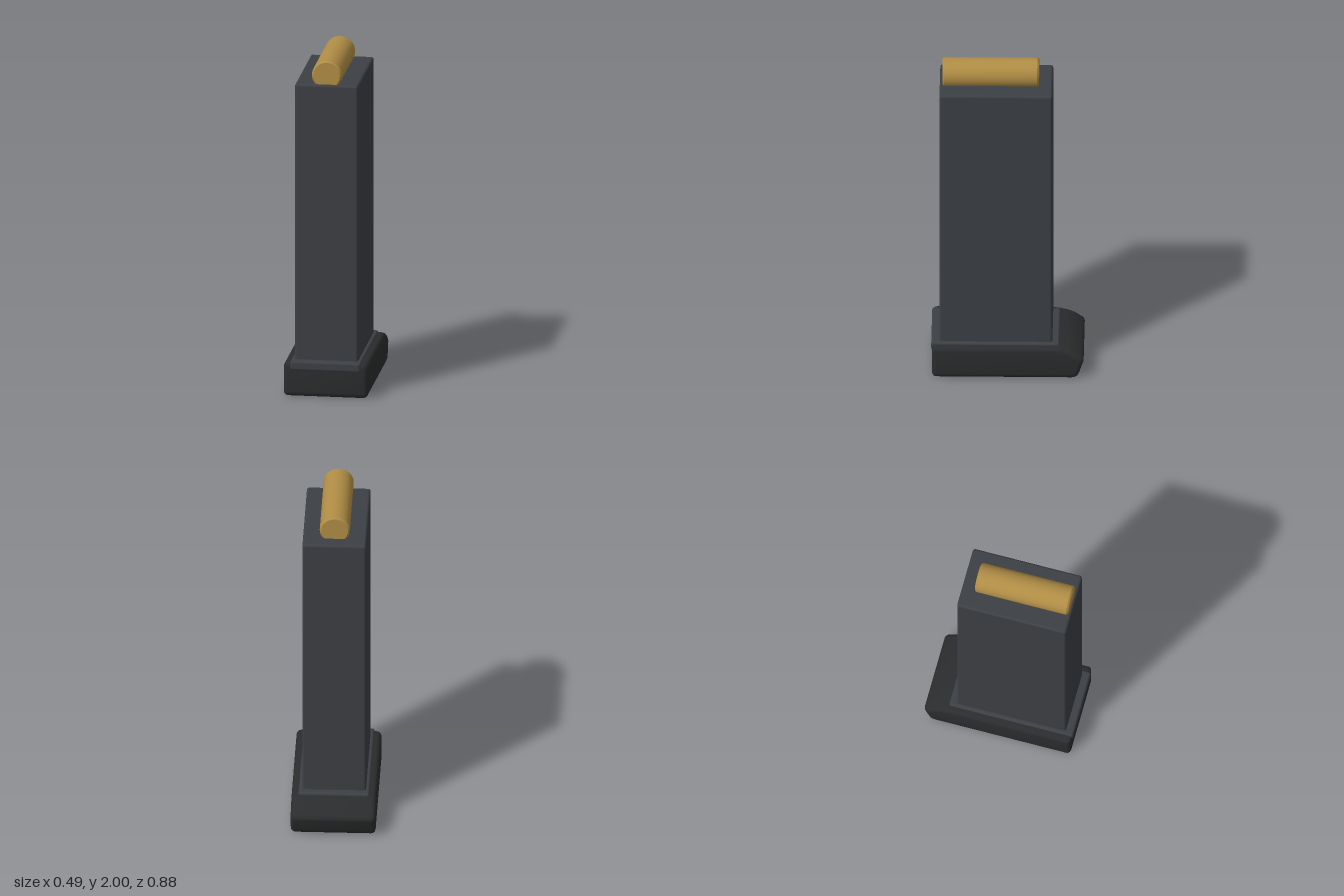
import * as THREE from 'three';
import { RoundedBoxGeometry } from 'three/addons/geometries/RoundedBoxGeometry.js';
import { toCreasedNormals } from 'three/addons/utils/BufferGeometryUtils.js';

const steel = new THREE.MeshStandardMaterial({ color: 0x3c3f44 });
const polymer = new THREE.MeshStandardMaterial({ color: 0x2b2c2d });
const brass = new THREE.MeshStandardMaterial({ color: 0xb08d45 });

function addPart(group, name, geometry, material) {
  const mesh = new THREE.Mesh(geometry, material);
  mesh.name = name;
  group.add(mesh);
  return mesh;
}

// Rounded box given by its half width and its y and z ranges
function block(halfX, y0, y1, z0, z1, radius) {
  return new RoundedBoxGeometry(2 * halfX, y1 - y0, z1 - z0, 3, radius)
    .translate(0, (y0 + y1) / 2, (z0 + z1) / 2);
}

// Closed outline whose corners [x, y, radius] are rounded off
function roundedShape(corners) {
  const shape = new THREE.Shape();
  const n = corners.length;
  corners.forEach(([x, y, r], i) => {
    const p = new THREE.Vector2(x, y);
    const toward = (c) => p.clone().add(
      new THREE.Vector2(c[0], c[1]).sub(p).setLength(r));
    const a = toward(corners[(i + n - 1) % n]);
    const b = toward(corners[(i + 1) % n]);
    if (i === 0) shape.moveTo(a.x, a.y);
    else shape.lineTo(a.x, a.y);
    shape.quadraticCurveTo(x, y, b.x, b.y);
  });
  shape.closePath();
  return shape;
}

export function createModel() {
  const group = new THREE.Group();
  group.name = 'magazine';

  // Base plate: side profile (z, y) with a sloped heel, extruded across x
  const profile = roundedShape([
    [0.437, 0, 0.03], [0.437, 0.2, 0.025], [-0.29, 0.2, 0.03],
    [-0.37, 0.178, 0.03], [-0.445, 0.128, 0.025], [-0.403, 0, 0.035],
  ]);
  const bevel = 0.026, halfWidth = 0.245;
  const plate = new THREE.ExtrudeGeometry(profile, {
    depth: 2 * (halfWidth - bevel), curveSegments: 5,
    bevelThickness: bevel, bevelSize: bevel, bevelOffset: -bevel, bevelSegments: 3,
  });
  plate.translate(0, 0, -(halfWidth - bevel)).rotateY(-Math.PI / 2);
  addPart(group, 'basePlate', toCreasedNormals(plate, 0.6), polymer);

  // Low collar where the tube enters the base plate
  addPart(group, 'collar', block(0.205, 0.155, 0.212, -0.3, 0.441, 0.014), steel);

  // Tall tube
  addPart(group, 'tube', block(0.184, 0.19, 1.86, -0.258, 0.394, 0.015), steel);

  // Cartridge lying front to back, half proud of the tube, with chamfered ends
  const r = 0.087, half = 0.279, c = 0.01;
  const casing = new THREE.LatheGeometry([
    [0, -half], [r - c, -half], [r, -half + c],
    [r, half - c], [r - c, half], [0, half],
  ].map(([x, y]) => new THREE.Vector2(x, y)), 40);
  casing.rotateX(Math.PI / 2).translate(0, 2 - r, 0.1);
  addPart(group, 'cartridge', toCreasedNormals(casing, 0.5), brass);

  return group;
}
